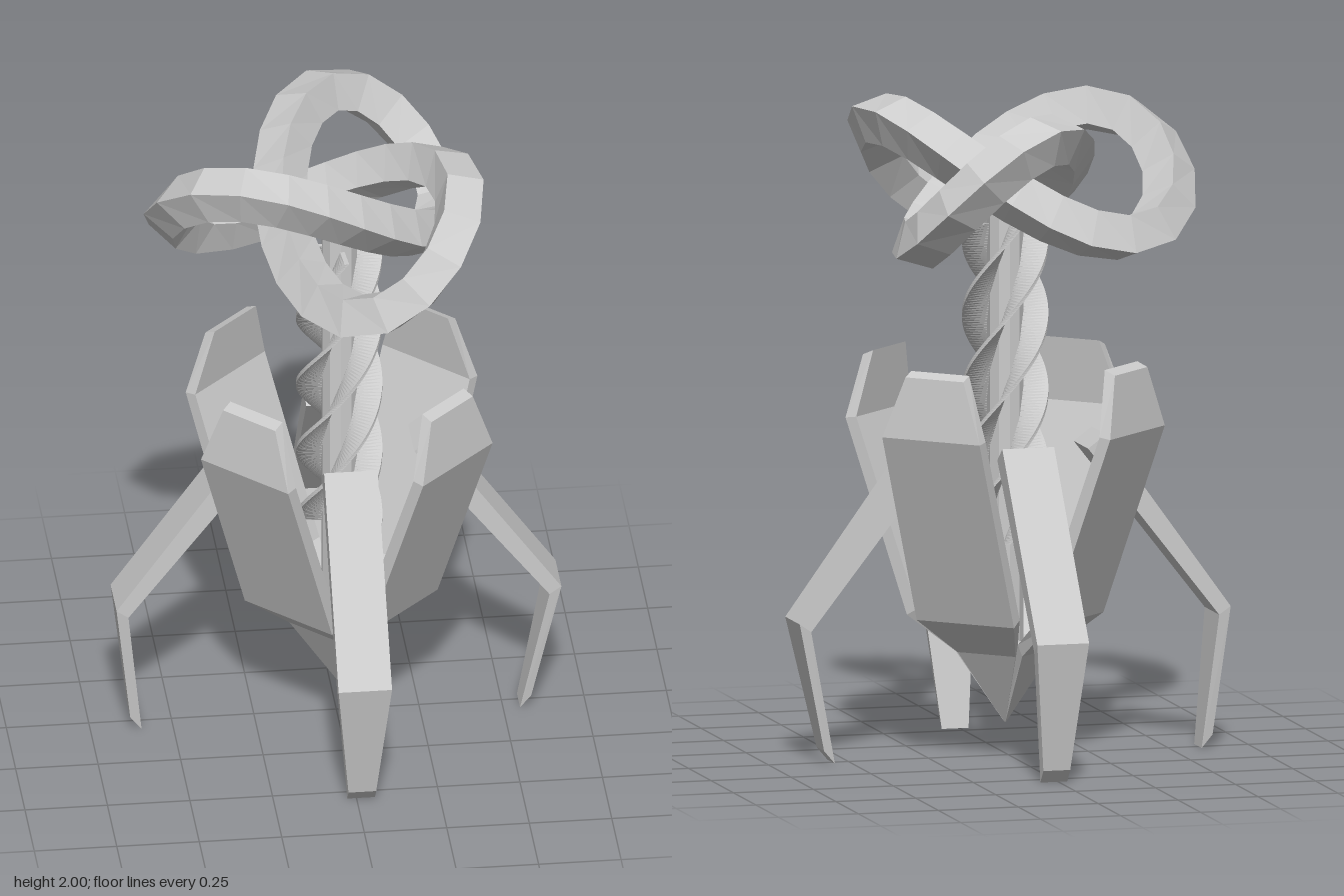
import * as THREE from 'three';

const material = new THREE.MeshStandardMaterial({ color: 0xcccccc, flatShading: true, side: THREE.DoubleSide });

function addPart(parent, name, geometry) {
  const mesh = new THREE.Mesh(geometry, material);
  mesh.name = name;
  parent.add(mesh);
  return mesh;
}

// Three-lobed closed knot lying flat, starting at the tip of its -x lobe
class KnotCurve extends THREE.Curve {
  getPoint(t, target = new THREE.Vector3()) {
    const a = t * Math.PI * 2;
    return target.set(
      -2 * Math.cos(2 * a) - Math.cos(a),
      Math.sin(3 * a),
      2 * Math.sin(2 * a) - Math.sin(a),
    ).multiplyScalar(0.1675);
  }
}

// Bent bar running outward along +z, listed from top to bottom.
// Station: [outer radius, outer y, inner radius, inner y, half width]
function bentBar(stations) {
  const rings = stations.map(([ro, yo, ri, yi, w]) => [
    [w, yo, ro], [-w, yo, ro], [-w, yi, ri], [w, yi, ri],
  ]);
  const pos = [];
  const quad = (a, b, c, d) => pos.push(...a, ...b, ...c, ...a, ...c, ...d);
  for (let i = 0; i < rings.length - 1; i++) {
    const a = rings[i], b = rings[i + 1];
    for (let j = 0; j < 4; j++) {
      const k = (j + 1) % 4;
      quad(a[j], a[k], b[k], b[j]);
    }
  }
  const top = rings[0], end = rings[rings.length - 1];
  quad(top[0], top[3], top[2], top[1]);
  quad(end[0], end[1], end[2], end[3]);
  const geometry = new THREE.BufferGeometry();
  geometry.setAttribute('position', new THREE.Float32BufferAttribute(pos, 3));
  geometry.computeVertexNormals();
  return geometry;
}

// Flat strip twisted about the upright axis
function twistedStrip(width, y0, y1, pitch, phase) {
  const geometry = new THREE.BoxGeometry(width, y1 - y0, 0.014, 4, 120, 1);
  geometry.translate(0, (y0 + y1) / 2, 0);
  const p = geometry.attributes.position;
  const v = new THREE.Vector3();
  const up = new THREE.Vector3(0, 1, 0);
  for (let i = 0; i < p.count; i++) {
    v.fromBufferAttribute(p, i);
    v.applyAxisAngle(up, phase + ((v.y - 1.38) / pitch) * Math.PI * 2);
    p.setXYZ(i, v.x, v.y, v.z);
  }
  geometry.computeVertexNormals();
  return geometry;
}

export function createModel() {
  const model = new THREE.Group();
  model.name = 'knotClawSculpture';

  // Square-section knot on top
  const knot = new THREE.TubeGeometry(new KnotCurve(), 40, 0.082, 4, true);
  addPart(model, 'knot', knot).position.set(0, 1.76, 0.005);

  // Stem: round rod with four twisted fins
  const stem = new THREE.Group();
  stem.name = 'stem';
  stem.position.set(0.008, 0, 0.006);
  const rod = new THREE.CylinderGeometry(0.055, 0.055, 1.35, 10);
  addPart(stem, 'rod', rod).position.y = 1.025;
  for (const phase of [0, Math.PI / 2]) {
    addPart(stem, 'twistedFin', twistedStrip(0.26, 0.66, 1.62, 0.92, phase));
  }
  model.add(stem);

  // Four pointed petals on the diagonals
  const petals = new THREE.Group();
  petals.name = 'petals';
  petals.position.set(0.008, 0, 0.006);
  const petal = bentBar([
    [0.435, 1.2, 0.4, 1.215, 0.1],
    [0.457, 1.015, 0.42, 1.02, 0.168],
    [0.245, 0.43, 0.21, 0.45, 0.168],
    [0.115, 0.32, 0.1, 0.355, 0.1],
    [0.002, 0.1, 0, 0.14, 0.002],
  ]);
  for (let i = 0; i < 4; i++) {
    addPart(petals, 'petal', petal).rotation.y = Math.PI / 4 + (i * Math.PI) / 2;
  }
  model.add(petals);

  // Four jointed legs: [name, angle, knee radius, foot radius, x offset, z offset]
  const legs = [
    ['frontLeg', 0, 0.656, 0.575, 0.014, 0],
    ['leftLeg', Math.PI / 2, 0.672, 0.585, 0, 0.01],
    ['backLeg', Math.PI, 0.662, 0.59, 0.014, 0],
    ['rightLeg', -Math.PI / 2, 0.676, 0.63, 0, 0.01],
  ];
  for (const [name, angle, knee, foot, x, z] of legs) {
    const leg = addPart(model, name, bentBar([
      [knee - 0.39, 0.975, knee - 0.446, 0.933, 0.081],
      [knee, 0.435, knee - 0.036, 0.41, 0.081],
      [foot, 0.04, foot - 0.034, 0, 0.042],
    ]));
    leg.rotation.y = angle;
    leg.position.set(x, 0, z);
  }

  return model;
}
